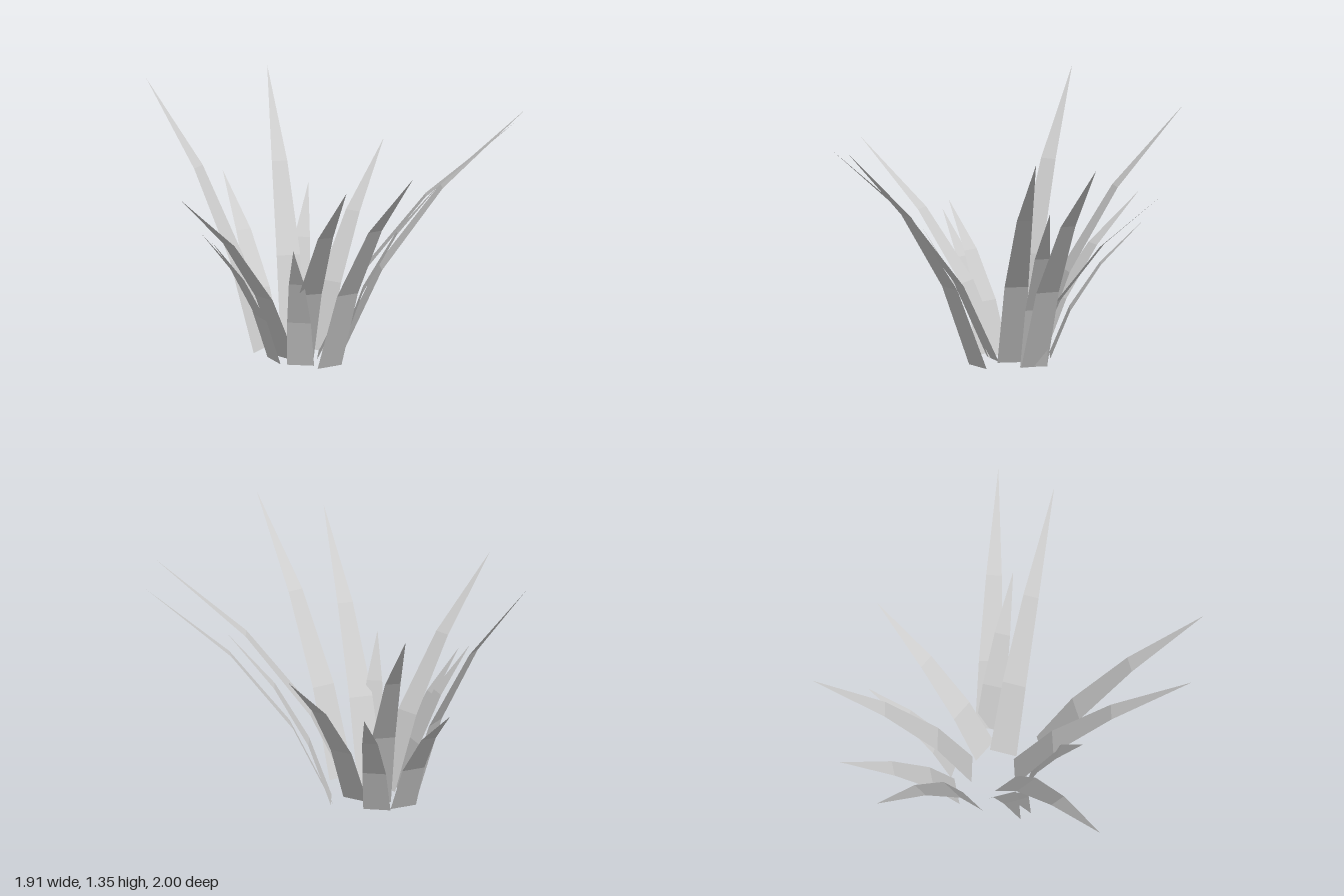
import * as THREE from 'three';

// One blade per row: base x, base z, tip x, tip z, tip height
const BLADES = [
  [-0.25, -0.175, -0.275, -1.0, 1.265],
  [-0.145, -0.115, 0.29, -0.70, 0.94],
  [-0.375, -0.245, -0.53, -0.84, 0.76],
  [-0.235, -0.26, -0.10, -0.72, 0.71],
  [-0.425, -0.16, -0.96, -0.625, 1.35],
  [-0.315, 0.005, -0.945, 0.535, 1.065],
  [-0.385, -0.02, -0.775, 0.11, 0.735],
  [-0.385, 0.03, -0.725, 0.16, 0.70],
  [-0.26, 0.125, -0.337, 0.405, 0.715],
  [-0.25, 0.045, -0.137, 0.955, 1.2],
  [-0.115, 0.172, 0.205, 0.995, 1.275],
  [-0.15, -0.02, 0.853, 0.18, 1.29],
  [-0.02, -0.103, 0.95, -0.115, 1.26],
  [-0.02, -0.1, 0.51, -0.01, 0.935],
];

const BASE_WIDTH = 0.142;

// Shared bend of every blade: [outward fraction, height fraction, width fraction]
const BEND = [[0, 0, 1], [0.215, 0.35, 0.87], [0.545, 0.685, 0.57], [1, 1, 0]];

// Flat strip that bends outward in three segments and ends in a point
function bladeGeometry(bx, bz, tx, tz, height) {
  const dx = tx - bx, dz = tz - bz;
  const scale = BASE_WIDTH / 2 / Math.hypot(dx, dz);
  const rows = BEND.map(([out, up, wide]) => [1, -1].map((side) => [
    bx + dx * out - side * dz * scale * wide,
    height * up,
    bz + dz * out + side * dx * scale * wide,
  ]));
  const points = [];
  for (let i = 0; i < 3; i++) {
    const [a, b] = rows[i], [c, d] = rows[i + 1];
    points.push(...a, ...b, ...c);
    if (i < 2) points.push(...b, ...d, ...c);
  }
  const geometry = new THREE.BufferGeometry();
  geometry.setAttribute('position', new THREE.Float32BufferAttribute(points, 3));
  geometry.computeVertexNormals(); // unshared corners keep each segment flat
  return geometry;
}

export function createModel() {
  const group = new THREE.Group();
  group.name = 'grassTuft';
  const grey = new THREE.MeshStandardMaterial({
    color: 0xcccccc, flatShading: true, side: THREE.DoubleSide,
  });
  grey.name = 'light grey';
  BLADES.forEach((blade, i) => {
    const mesh = new THREE.Mesh(bladeGeometry(...blade), grey);
    mesh.name = `grassBlade${i + 1}`;
    group.add(mesh);
  });
  return group;
}
